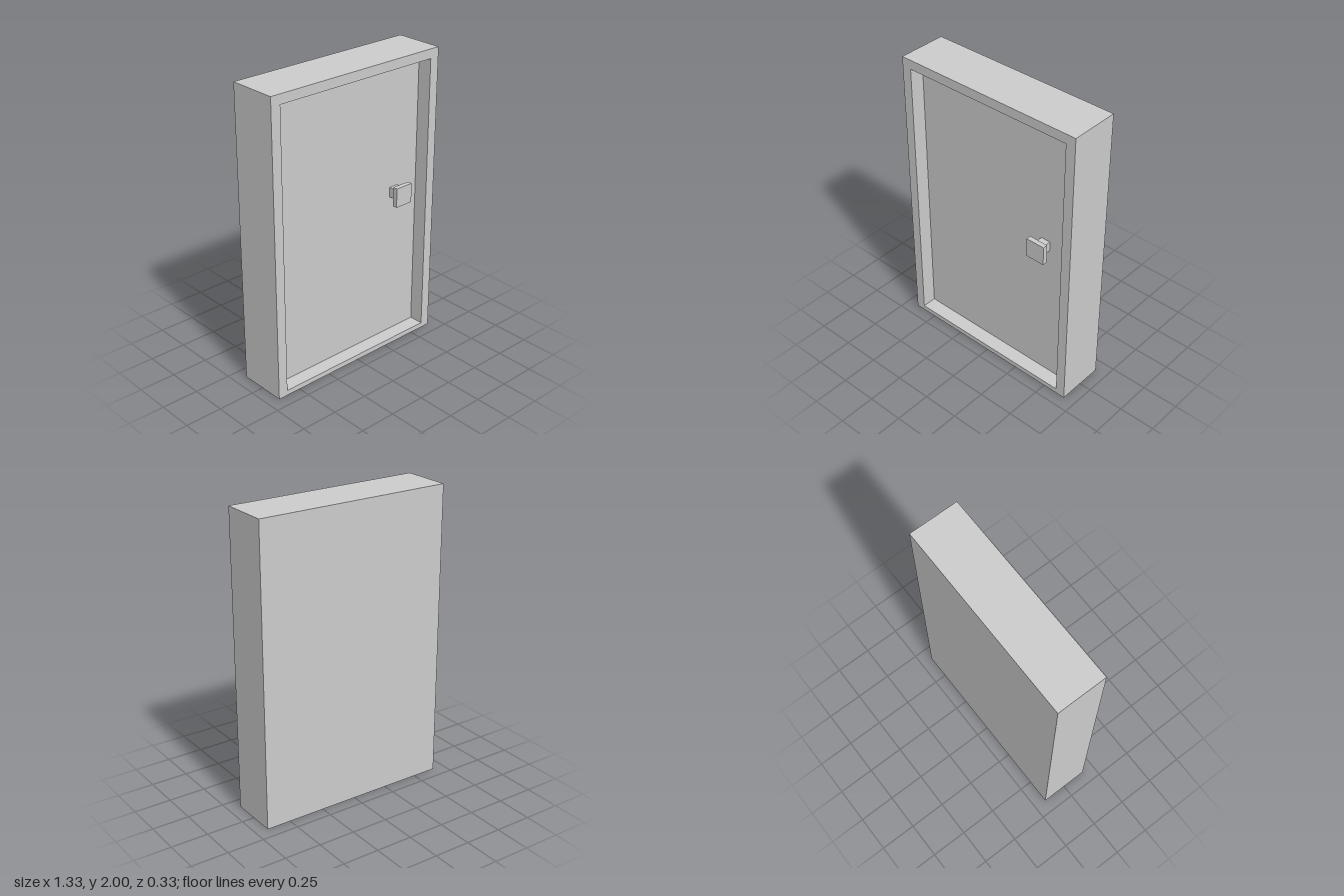
import * as THREE from 'three';

const W = 1.333, H = 2, D = 0.333;
const OPEN = { x: 0.6, bottom: 0.035, top: 1.937 };
const DOOR_FRONT = 0.067; // door face sits 0.1 behind the frame front

export function createModel() {
  const group = new THREE.Group();
  const material = new THREE.MeshStandardMaterial({ color: 0xcccccc, flatShading: true });

  const add = (name, geometry, x = 0, y = 0, z = 0) => {
    const mesh = new THREE.Mesh(geometry, material);
    mesh.name = name;
    mesh.position.set(x, y, z);
    group.add(mesh);
  };
  const rect = (path, x0, y0, x1, y1) =>
    path.moveTo(x0, y0).lineTo(x1, y0).lineTo(x1, y1).lineTo(x0, y1).closePath();

  // Frame with a thin threshold at the bottom
  const outline = rect(new THREE.Shape(), -W / 2, 0, W / 2, H);
  outline.holes.push(rect(new THREE.Path(), -OPEN.x, OPEN.bottom, OPEN.x, OPEN.top));
  add('doorFrame', new THREE.ExtrudeGeometry(outline, { depth: D, bevelEnabled: false }), 0, 0, -D / 2);

  // Door leaf, recessed at the front and flush with the frame at the back
  const leafDepth = DOOR_FRONT + D / 2;
  add('doorLeaf',
    new THREE.BoxGeometry(OPEN.x * 2, OPEN.top - OPEN.bottom, leafDepth),
    0, (OPEN.top + OPEN.bottom) / 2, DOOR_FRONT - leafDepth / 2);

  // Square knob on a narrower stem, its face level with the frame front
  add('knobStem', new THREE.BoxGeometry(0.067, 0.067, 0.067), 0.398, 1.069, 0.1);
  add('knob', new THREE.BoxGeometry(0.132, 0.132, 0.033), 0.398, 1.069, 0.15);

  return group;
}
